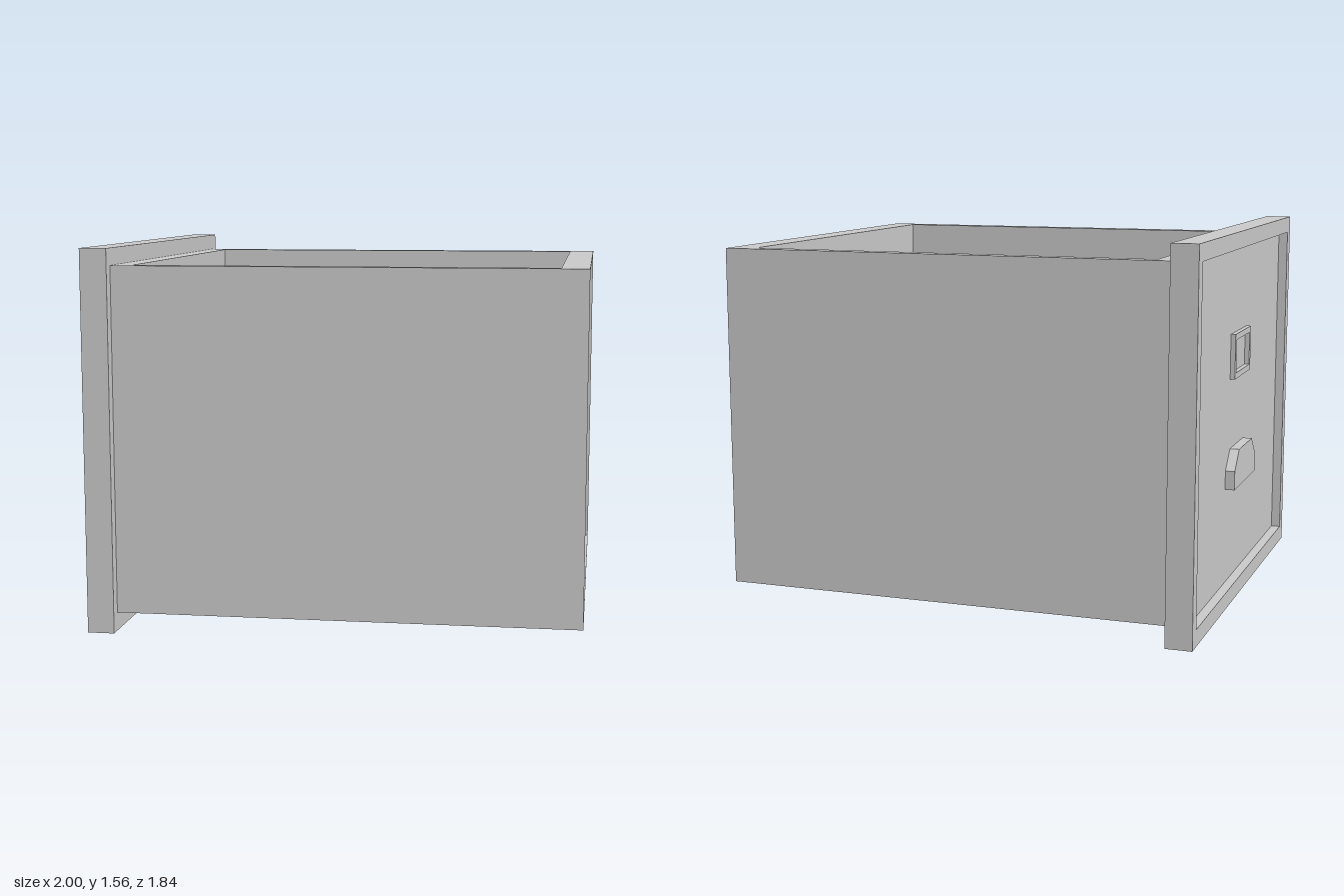
import * as THREE from 'three';

const material = new THREE.MeshStandardMaterial({ color: 0xcccccc, flatShading: true });

export function createModel() {
  const model = new THREE.Group();
  model.name = 'drawer';

  // Box given by its minimum and maximum corners
  function block(name, x0, x1, y0, y1, z0, z1) {
    const mesh = new THREE.Mesh(new THREE.BoxGeometry(x1 - x0, y1 - y0, z1 - z0), material);
    mesh.position.set((x0 + x1) / 2, (y0 + y1) / 2, (z0 + z1) / 2);
    mesh.name = name;
    model.add(mesh);
  }

  // Outline in (z, y), extruded from xBack towards the drawer face at -x
  function plate(name, outline, hole, xBack, depth) {
    const toPoints = (list) => list.map(([z, y]) => new THREE.Vector2(z, y));
    const shape = new THREE.Shape(toPoints(outline));
    if (hole) shape.holes.push(new THREE.Path(toPoints(hole)));
    const geometry = new THREE.ExtrudeGeometry(shape, { depth, bevelEnabled: false });
    geometry.rotateY(-Math.PI / 2);
    const mesh = new THREE.Mesh(geometry, material);
    mesh.position.x = xBack;
    mesh.name = name;
    model.add(mesh);
  }
  const rect = (z, y0, y1) => [[-z, y0], [z, y0], [z, y1], [-z, y1]];

  // Face panel with a raised border
  block('facePanel', -0.96, -0.89, 0, 1.56, -0.92, 0.92);
  plate('faceBorder', rect(0.92, 0, 1.56), rect(0.86, 0.07, 1.49), -0.96, 0.04);

  // Open-topped box; the thin side sheets run past the recessed end wall
  block('floor', -0.89, 1, 0.075, 0.085, -0.87, 0.87);
  block('innerFaceWall', -0.89, -0.815, 0.085, 1.49, -0.87, 0.87);
  block('endWall', 0.89, 0.9, 0.085, 1.48, -0.865, 0.865);
  block('endRim', 0.9, 1, 1.48, 1.49, -0.87, 0.87);
  block('endWallTop', 0.89, 0.9, 1.48, 1.49, -0.87, 0.87);
  for (const side of [-1, 1]) {
    const span = (a, b) => (side > 0 ? [a, b] : [-b, -a]);
    block('sideWall', -0.815, 0.89, 0.085, 1.49, ...span(0.81, 0.87));
    block('sideLip', 0.89, 1, 0.085, 1.48, ...span(0.865, 0.87));
  }

  // Label holder
  plate('labelHolder', rect(0.155, 0.94, 1.13), rect(0.13, 0.965, 1.105), -0.96, 0.02);

  // Cup pull, open underneath
  const outer = [[-0.21, 0.48], [-0.21, 0.56], [-0.13, 0.64], [0.13, 0.64], [0.21, 0.56], [0.21, 0.48]];
  const inner = [[0.195, 0.48], [0.195, 0.555], [0.125, 0.625], [-0.125, 0.625], [-0.195, 0.555], [-0.195, 0.48]];
  plate('pullRim', [...outer, ...inner], null, -0.96, 0.03);
  plate('pullFront', outer, null, -0.99, 0.01);

  return model;
}
